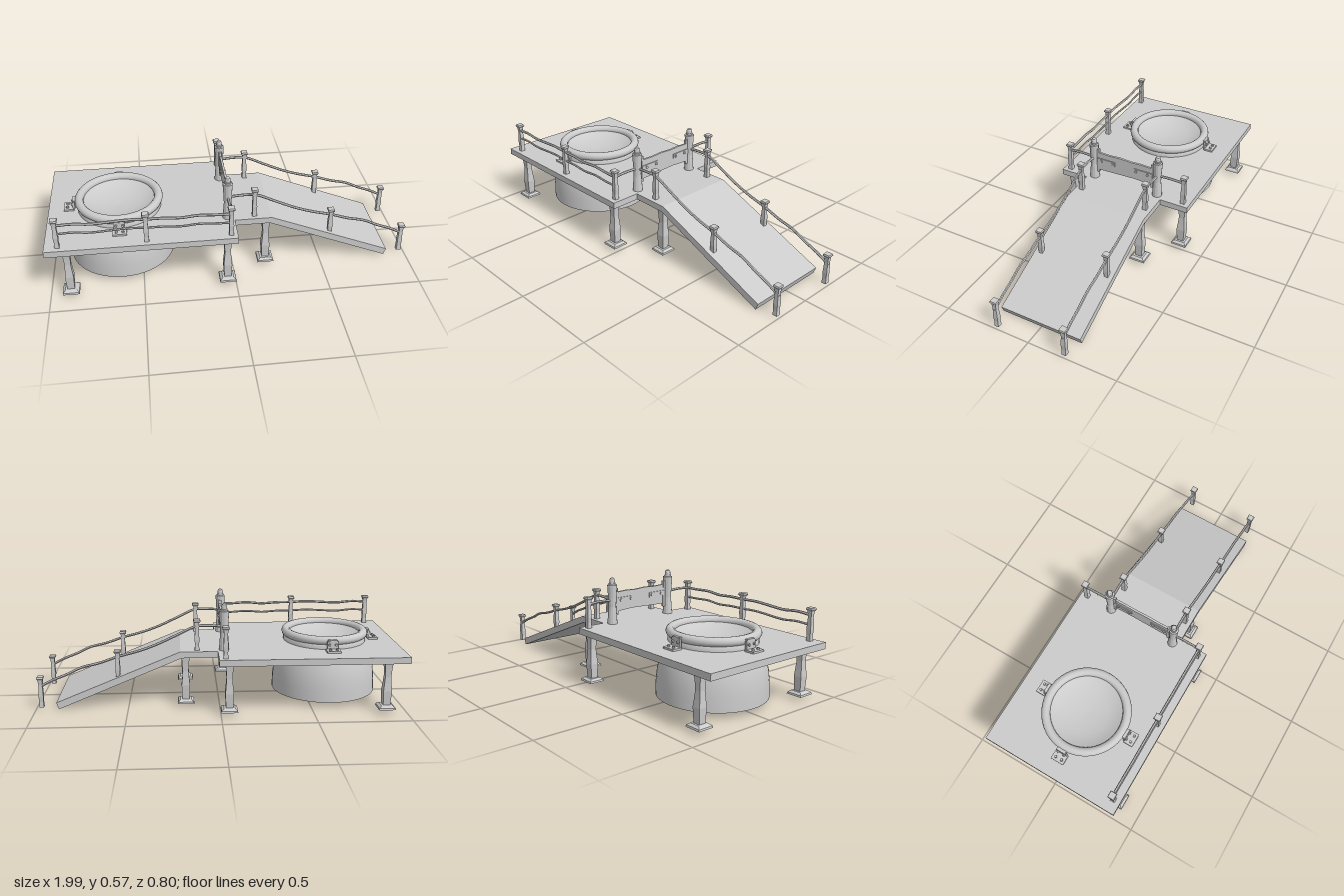
import * as THREE from 'three';

const smooth = new THREE.MeshStandardMaterial({ color: 0xcccccc, side: THREE.DoubleSide });
const flat = new THREE.MeshStandardMaterial({ color: 0xcccccc, flatShading: true });

export function createModel() {
  const root = new THREE.Group();

  function add(name, geometry, x = 0, y = 0, z = 0, material = flat, parent = root) {
    const m = new THREE.Mesh(geometry, material);
    m.name = name;
    m.position.set(x, y, z);
    parent.add(m);
    return m;
  }
  const box = (name, w, h, d, x, y, z, parent) =>
    add(name, new THREE.BoxGeometry(w, h, d), x, y, z, flat, parent);

  // Square timber standing on its base, its half-width following a list of values
  function carved(height, halves) {
    const n = halves.length - 1;
    const g = new THREE.BoxGeometry(2, height, 2, 1, n, 1).translate(0, height / 2, 0);
    const p = g.attributes.position;
    for (let i = 0; i < p.count; i++) {
      const h = halves[Math.round((p.getY(i) / height) * n)];
      p.setX(i, p.getX(i) * h);
      p.setZ(i, p.getZ(i) * h);
    }
    return g;
  }

  // Extrude an x-y outline along z, centred on z = 0
  function slab(points, depth) {
    const s = new THREE.Shape(points.map(([x, y]) => new THREE.Vector2(x, y)));
    return new THREE.ExtrudeGeometry(s, { depth, bevelEnabled: false }).translate(0, 0, -depth / 2);
  }

  // Deck with a round opening over the tub
  const TUB_X = -0.61;
  const deck = new THREE.Shape();
  deck.moveTo(-1, -0.4).lineTo(0.01, -0.4).lineTo(0.01, 0.4).lineTo(-1, 0.4).closePath();
  deck.holes.push(new THREE.Path().absarc(TUB_X, 0, 0.2, 0, Math.PI * 2, true));
  add('deck', new THREE.ExtrudeGeometry(deck, { depth: 0.035, bevelEnabled: false, curveSegments: 32 })
    .rotateX(-Math.PI / 2), 0, 0.28, 0);

  // Landing and sloping ramp
  add('ramp', slab([[0.01, 0.28], [0.205, 0.28], [0.877, 0], [0.89, 0.037], [0.215, 0.315], [0.01, 0.315]], 0.473));

  // Legs on flared feet
  for (const [x, z] of [[-0.89, 0.355], [-0.045, 0.355], [0.185, 0.205]]) {
    for (const s of [1, -1]) {
      const leg = new THREE.Group();
      leg.name = 'leg';
      leg.position.set(x, 0, z * s);
      root.add(leg);
      add('legPost', carved(0.242, [0.019, 0.021, 0.023, 0.019, 0.016, 0.018, 0.022]), 0, 0.04, 0, flat, leg);
      add('foot', carved(0.02, [0.045, 0.043, 0.03]), 0, 0.022, 0, flat, leg);
    }
  }

  // Open-bottomed tub, rim and shallow basin
  const lathe = (pts) => new THREE.LatheGeometry(pts.map(([r, y]) => new THREE.Vector2(r, y)), 48);
  add('tub', lathe([[0.293, 0.03], [0.291, 0.1], [0.285, 0.16], [0.273, 0.215], [0.256, 0.262], [0.246, 0.282]]),
    TUB_X, 0, 0, smooth);
  add('tubCollar', lathe([[0.2, 0.28], [0.2, 0.35], [0.232, 0.35], [0.232, 0.31]]), TUB_X, 0, 0, smooth);
  add('tubRim', new THREE.TorusGeometry(0.219, 0.024, 12, 48).rotateX(Math.PI / 2), TUB_X, 0.362, 0, smooth);
  add('basin', lathe([[0, 0.315], [0.06, 0.318], [0.12, 0.327], [0.165, 0.341], [0.2, 0.36]]), TUB_X, 0, 0, smooth);

  // Clamps that hold the rim to the deck
  for (const a of [0, Math.PI / 2, Math.PI]) {
    const clamp = new THREE.Group();
    clamp.name = 'rimClamp';
    clamp.position.set(TUB_X, 0, 0);
    clamp.rotation.y = -a;
    root.add(clamp);
    box('clampPlate', 0.075, 0.01, 0.055, 0, 0.32, 0.277, clamp);
    box('clampUpright', 0.06, 0.045, 0.012, 0, 0.344, 0.25, clamp);
    box('clampHook', 0.05, 0.01, 0.03, 0, 0.368, 0.24, clamp);
    for (const x of [-0.018, 0.018]) {
      add('clampBolt', new THREE.CylinderGeometry(0.007, 0.008, 0.01, 6), x, 0.33, 0.285, flat, clamp);
      add('clampBolt', new THREE.CylinderGeometry(0.007, 0.008, 0.01, 6).rotateX(Math.PI / 2),
        x, 0.348, 0.26, flat, clamp);
    }
  }

  // Railing posts with chamfered caps
  function railPost(x, y, z) {
    const post = new THREE.Group();
    post.name = 'railPost';
    post.position.set(x, y, z);
    root.add(post);
    add('railPostShaft', carved(0.157, [0.013, 0.011, 0.013, 0.0115, 0.010, 0.0125]), 0, 0, 0, flat, post);
    add('railPostCap', carved(0.018, [0.013, 0.019, 0.0165]), 0, 0.155, 0, flat, post);
  }

  // Slightly crooked rail through the given points
  function rail(points, radius = 0.0075) {
    const path = [];
    for (let i = 0; i < points.length - 1; i++) {
      const a = new THREE.Vector3(...points[i]), b = new THREE.Vector3(...points[i + 1]);
      const steps = Math.max(2, Math.round(a.distanceTo(b) / 0.1));
      for (let k = 0; k < steps; k++) {
        const p = a.clone().lerp(b, k / steps);
        if (k) p.y += 0.005 * Math.sin(k * 2.1 + i);
        path.push(p);
      }
    }
    path.push(new THREE.Vector3(...points.at(-1)));
    const curve = new THREE.CatmullRomCurve3(path);
    add('rail', new THREE.TubeGeometry(curve, path.length * 3, radius, 6), 0, 0, 0,
      new THREE.MeshStandardMaterial({ color: 0xcccccc, flatShading: true, side: THREE.DoubleSide }));
  }

  // Railing along the front of the deck
  for (const x of [-0.93, -0.47, -0.025]) railPost(x, 0.313, 0.36);
  railPost(-0.025, 0.313, -0.36);
  rail([[-0.94, 0.447, 0.36], [-0.47, 0.45, 0.36], [-0.015, 0.445, 0.36]]);
  rail([[-0.94, 0.395, 0.36], [-0.47, 0.397, 0.36], [-0.015, 0.39, 0.36]], 0.006);

  for (const s of [1, -1]) {
    const z = 0.2 * s;
    // Short rail from the corner to the gate post
    rail([[-0.025, 0.444, 0.37 * s], [-0.025, 0.445, z]]);

    // Ramp railing
    railPost(0.122, 0.313, z);
    railPost(0.553, 0.148, z);
    railPost(0.975, 0.004, z);
    rail([[-0.025, 0.445, z], [0.125, 0.448, z], [0.35, 0.345, z], [0.553, 0.283, z], [0.75, 0.225, z], [0.985, 0.115, z]]);

    // Round gate post with a domed finial
    const profile = [[0.028, 0.313], [0.025, 0.36], [0.021, 0.41], [0.023, 0.46], [0.027, 0.527], [0.027, 0.531],
      [0.019, 0.533], [0.019, 0.541], [0.0155, 0.542], [0.0155, 0.557], [0.012, 0.566], [0.006, 0.57], [0, 0.571]];
    add('gatePost', new THREE.LatheGeometry(profile.map(([r, y]) => new THREE.Vector2(r, y)), 12), -0.025, 0, z);

    // Gate stile, strap and bolts
    box('gateStile', 0.016, 0.15, 0.014, -0.022, 0.434, 0.17 * s);
    box('gateStrap', 0.022, 0.028, 0.115, -0.02, 0.44, 0.118 * s);
    for (const b of [0.145, 0.075]) {
      add('strapBolt', new THREE.CylinderGeometry(0.008, 0.008, 0.034, 6).rotateZ(Math.PI / 2), -0.02, 0.44, b * s);
    }
  }

  // Gate board with an uneven top edge
  const top = [[0.17, 0.486], [0.1, 0.489], [0.04, 0.486], [-0.03, 0.49], [-0.1, 0.486], [-0.17, 0.489]];
  add('gateBoard', slab([[-0.17, 0.376], [-0.05, 0.38], [0.06, 0.384], [0.17, 0.378], ...top], 0.012)
    .rotateY(Math.PI / 2), -0.02, 0, 0);

  return root;
}
